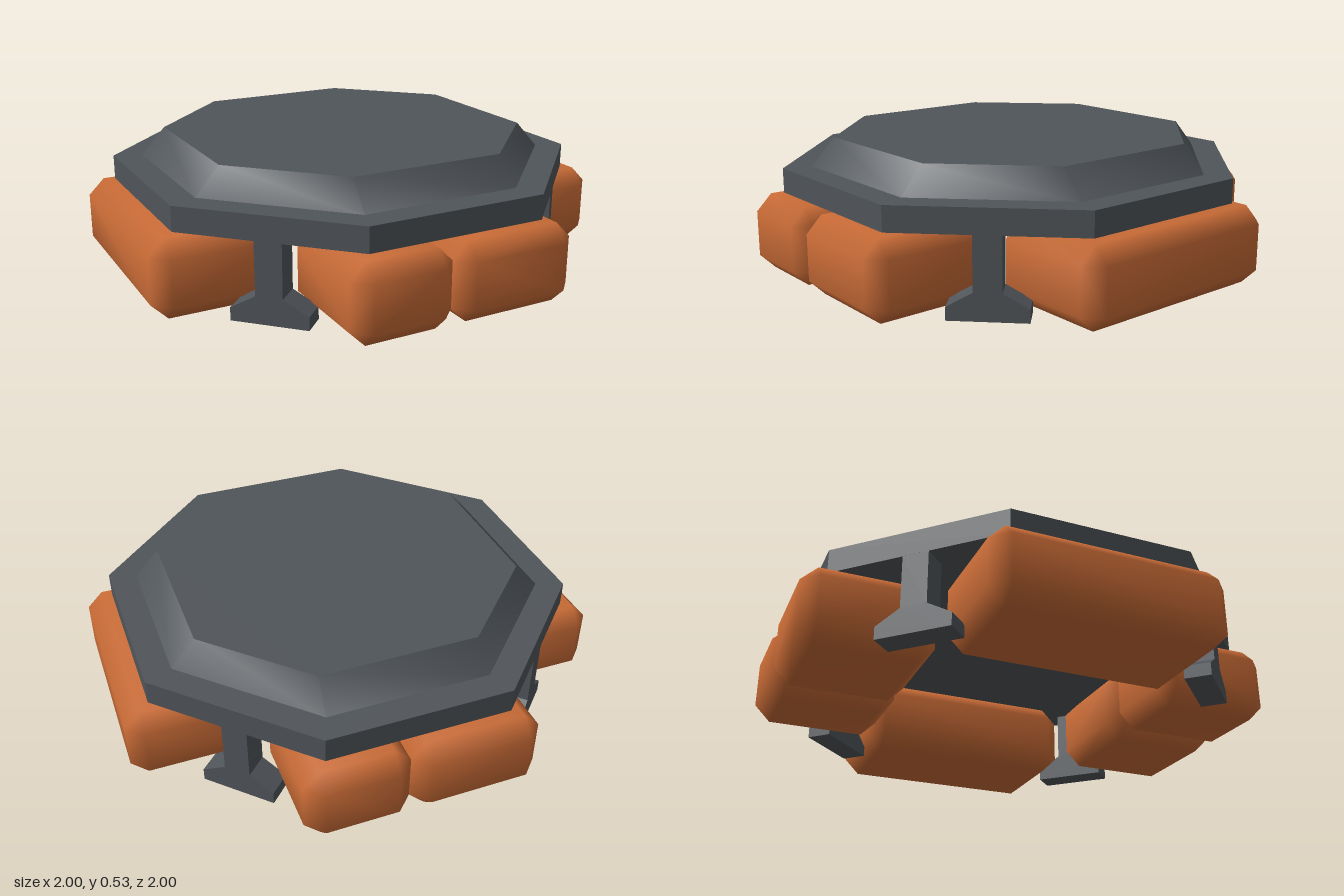
import * as THREE from 'three';
import { mergeVertices } from 'three/addons/utils/BufferGeometryUtils.js';
import { ConvexGeometry } from 'three/addons/geometries/ConvexGeometry.js';

// Drop old attributes, weld the corners and average the normals
function smooth(geometry) {
  geometry.deleteAttribute('normal');
  geometry.deleteAttribute('uv');
  const welded = mergeVertices(geometry, 1e-4);
  welded.computeVertexNormals();
  return welded;
}

// Box with chamfered edges, softly shaded
function chamferedBox(w, h, d, c) {
  const half = [w / 2, h / 2, d / 2];
  const points = [];
  for (const sx of [-1, 1]) for (const sy of [-1, 1]) for (const sz of [-1, 1]) {
    for (let axis = 0; axis < 3; axis++) {
      const p = half.map((v, i) => (i === axis ? v : v - c));
      points.push(new THREE.Vector3(p[0] * sx, p[1] * sy, p[2] * sz));
    }
  }
  return smooth(new ConvexGeometry(points));
}

// Corners of an octagon: a = distance to the flat sides, b = half length of those sides
function octagon(a, b) {
  return [[a, -b], [a, b], [b, a], [-b, a], [-a, b], [-a, -b], [-b, -a], [b, -a]]
    .map(([x, y]) => new THREE.Vector2(x, y));
}

export function createModel() {
  const model = new THREE.Group();
  const grey = new THREE.MeshStandardMaterial({ color: 0x50555a });
  grey.name = 'slate grey';
  const orange = new THREE.MeshStandardMaterial({ color: 0xc96b36 });
  orange.name = 'burnt orange';

  const add = (name, geometry, material, x = 0, y = 0, z = 0) => {
    const mesh = new THREE.Mesh(geometry, material);
    mesh.name = name;
    mesh.position.set(x, y, z);
    model.add(mesh);
    return mesh;
  };

  // Octagonal slab
  const slab = new THREE.ExtrudeGeometry(new THREE.Shape(octagon(0.895, 0.371)), { depth: 0.1, bevelEnabled: false });
  slab.rotateX(-Math.PI / 2);
  add('slab', slab, grey, 0, 0.32, 0);

  // Sloping rim of the raised top, lofted between two octagons
  const lower = octagon(0.785, 0.328), upper = octagon(0.685, 0.32);
  const rim = new THREE.CylinderGeometry(1, 1, 1, 8, 1, true);
  const pos = rim.attributes.position;
  for (let i = 0; i < pos.count; i++) {
    const ring = i < 9 ? upper : lower;
    const p = ring[i % 9 % 8];
    pos.setXYZ(i, p.x, i < 9 ? 0.53 : 0.42, -p.y);
  }
  // Reverse the walk around the ring so the faces look outwards
  for (let i = 0; i < pos.count; i++) pos.setZ(i, -pos.getZ(i));
  const index = rim.index.array;
  for (let i = 0; i < index.length; i += 3) [index[i], index[i + 1]] = [index[i + 1], index[i]];
  const ab = new THREE.Vector3().fromBufferAttribute(pos, index[0]);
  const e1 = new THREE.Vector3().fromBufferAttribute(pos, index[1]).sub(ab);
  const e2 = new THREE.Vector3().fromBufferAttribute(pos, index[2]).sub(ab);
  if (e1.cross(e2).dot(ab) < 0) {
    for (let i = 0; i < index.length; i += 3) [index[i], index[i + 1]] = [index[i + 1], index[i]];
  }
  add('topRim', smooth(rim), grey);

  // Flat top
  const top = new THREE.ShapeGeometry(new THREE.Shape(upper));
  top.rotateX(-Math.PI / 2);
  add('topPlate', top, grey, 0, 0.53, 0);

  // Four legs with flared feet, flush with the diagonal sides
  const half = [[0.152, 0], [0.152, 0.052], [0.053, 0.108], [0.053, 0.32]];
  const outline = [...half, ...half.map(([x, y]) => [-x, y]).reverse()];
  const leg = new THREE.ExtrudeGeometry(
    new THREE.Shape(outline.map(([x, y]) => new THREE.Vector2(x, y))),
    { depth: 0.106, bevelEnabled: false },
  );
  leg.translate(0, 0, 0.789);
  for (let i = 0; i < 4; i++) {
    add('leg', leg, grey).rotation.y = Math.PI / 4 + i * Math.PI / 2;
  }

  // One long cushion on each side, a split pair at front and back
  const c = 0.065, depth = 0.527, mid = 0.7365;
  const long = chamferedBox(depth, 0.315, 0.945, c);
  const wide = chamferedBox(0.527, 0.315, depth, c);
  const narrow = chamferedBox(0.418, 0.315, depth, c);
  for (const s of [1, -1]) {
    add('sideCushion', long, orange, s * mid, 0.1585, 0);
    add('wideCushion', wide, orange, s * 0.209, 0.1585, s * mid);
    add('narrowCushion', narrow, orange, s * -0.2635, 0.1585, s * mid);
  }
  return model;
}
